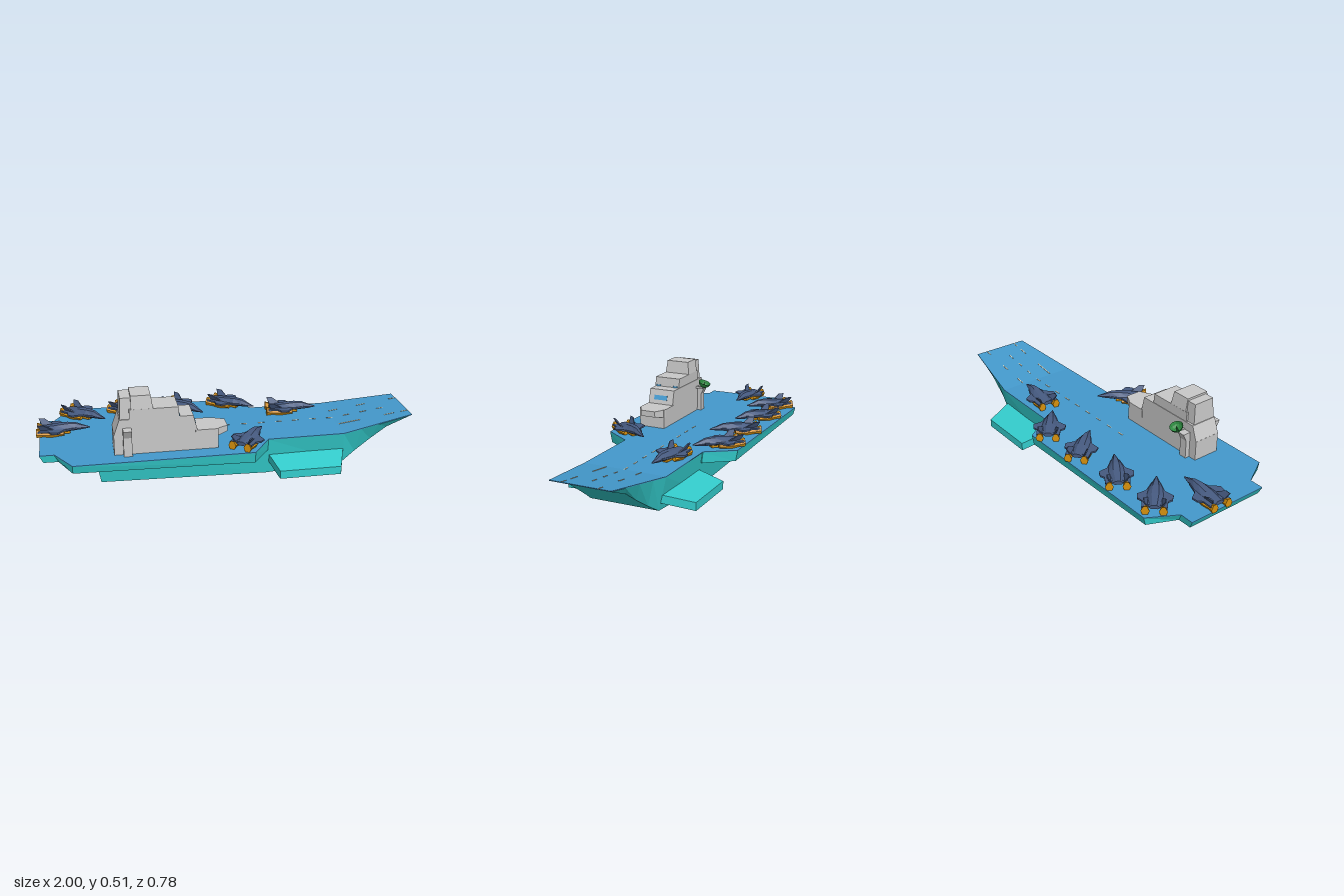
import * as THREE from 'three';

const mat = (name, color, side = THREE.FrontSide) => {
  const m = new THREE.MeshStandardMaterial({ color, side, flatShading: true });
  m.name = name;
  return m;
};

// Skin over rings ordered along +x; each ring runs top +z, down, across to -z, up
function loft(rings) {
  const p = [], n = rings[0].length;
  const tri = (a, b, c) => p.push(...a, ...b, ...c);
  for (let i = 0; i < rings.length - 1; i++) {
    for (let j = 0; j < n; j++) {
      const k = (j + 1) % n, A = rings[i], B = rings[i + 1];
      tri(A[j], A[k], B[k]);
      tri(A[j], B[k], B[j]);
    }
  }
  const s = rings[0], e = rings[rings.length - 1];
  for (let j = 1; j < n - 1; j++) {
    tri(s[0], s[j + 1], s[j]);
    tri(e[0], e[j], e[j + 1]);
  }
  const g = new THREE.BufferGeometry();
  g.setAttribute('position', new THREE.Float32BufferAttribute(p, 3));
  g.computeVertexNormals();
  return g;
}

// Tapered block: bottom and top given as [y, x0, x1, z0, z1]
function block(b, t) {
  const ring = (i) => [[t[i], t[0], t[4]], [b[i], b[0], b[4]], [b[i], b[0], b[3]], [t[i], t[0], t[3]]];
  return loft([ring(1), ring(2)]);
}

// Horizontal plate, mirrored in z from a half outline of [x, z], with its top at y
function plate(half, y, depth) {
  const pts = [...half, ...half.filter(q => q[1] > 0).reverse().map(([x, z]) => [x, -z])];
  const shape = new THREE.Shape(pts.map(([x, z]) => new THREE.Vector2(x, z)));
  return new THREE.ExtrudeGeometry(shape, { depth, bevelEnabled: false }).rotateX(Math.PI / 2).translate(0, y, 0);
}

function reshape(g, rule) {
  const a = g.attributes.position, v = new THREE.Vector3();
  for (let i = 0; i < a.count; i++) {
    rule(v.fromBufferAttribute(a, i));
    a.setXYZ(i, v.x, v.y, v.z);
  }
  g.computeVertexNormals();
  return g;
}

export function createModel() {
  const teal = mat('hull teal', 0x33cccc);
  const blue = mat('deck blue', 0x4499cc);
  const grey = mat('tower grey', 0xc8c8c8);
  const slate = mat('aircraft slate', 0x465a80);
  const orange = mat('aircraft orange', 0xd8920e);
  const green = mat('dish green', 0x2c8c40, THREE.DoubleSide);
  const glass = mat('window blue', 0x4aa4dc);
  const cream = mat('marking cream', 0xe8d8b8);

  const root = new THREE.Group();
  root.name = 'aircraftCarrier';
  const add = (name, g, m, parent = root) => {
    const mesh = new THREE.Mesh(g, m);
    mesh.name = name;
    parent.add(mesh);
    return mesh;
  };
  const rise = (x) => Math.max(0, x - 0.6) * 0.135;

  // Hull: [top x, top half width, bottom x, bottom y, bottom half width]
  const hullRings = [
    [-0.71, 0.225, -0.68, 0.02, 0.195], [0.19, 0.225, 0.19, 0, 0.195],
    [0.6, 0.225, 0.61, 0.03, 0.19], [0.7, 0.209, 0.68, 0.075, 0.17],
    [0.8, 0.193, 0.77, 0.135, 0.157], [0.9, 0.176, 0.86, 0.197, 0.155],
    [1, 0.16, 0.995, 0.255, 0.16],
  ].map(([xt, zt, xb, yb, zb]) => {
    const yt = 0.202 + rise(xt);
    return [[xt, yt, zt], [xb, yb, zb], [xb, yb, -zb], [xt, yt, -zt]];
  });
  add('hull', loft(hullRings), teal);

  // Overhanging deck body, undercut and deeper towards the bow
  const aft = [[-0.98, 0.228], [-0.905, 0.228], [-0.82, 0.378], [0.09, 0.378], [0.19, 0.228]];
  add('deckOverhang', reshape(plate(aft, 0.202, 0.04), (v) => {
    if (v.y < 0.19) {
      v.y = 0.165 - 0.0175 * (v.x + 0.98);
      v.z *= 0.972;
      if (v.x < -0.9) v.x += 0.018;
    }
  }), teal);

  // Flight deck and raised bow deck
  add('flightDeck', plate([...aft, [0.6, 0.226]], 0.206, 0.004), blue);
  add('bowDeck', reshape(plate([[0.6, 0.226], [1, 0.161]], 0.206, 0.004), (v) => { v.y += rise(v.x); }), blue);

  // Runway dashes
  const dash = (x0, x1, z) => {
    const m = add('runwayDash', new THREE.BoxGeometry(x1 - x0, 0.002, 0.005), cream);
    const x = (x0 + x1) / 2;
    m.position.set(x, 0.207 + rise(x), z);
    if (x > 0.6) m.rotation.z = Math.atan(0.135);
  };
  for (let x = -0.2; x < 0.95; x += 0.096) dash(x, x + 0.035, 0);
  [[0.61, 0.66, -0.095], [0.77, 0.82, -0.095], [0.96, 0.998, -0.095],
    [0.61, 0.73, 0.097], [0.865, 0.92, 0.097], [0.96, 0.998, 0.097]].forEach(d => dash(...d));

  // Sloping side platforms
  for (const s of [1, -1]) {
    const edge = (x, z, y) => [[x, y, z * s], [x, y - 0.043, z * s]];
    const q = [[0.195, 0.55 + 0.06], [0.225, 0.55]].map(([a, b], i) =>
      [a, b].map(x => edge(x, i ? 0.358 : 0.19, i ? 0.08 : 0.114)));
    const ring = (k) => {
      const [inner, outer] = [q[0][k], q[1][k]];
      return s > 0 ? [outer[0], outer[1], inner[1], inner[0]] : [inner[0], inner[1], outer[1], outer[0]];
    };
    add('sidePlatform', loft([ring(0), ring(1)]), teal);
  }

  // Control tower, stacked in tiers
  const tower = new THREE.Group();
  tower.name = 'controlTower';
  root.add(tower);
  const tier = (name, b, t) => add(name, block(b, t), grey, tower);
  tier('towerBase', [0.2, -0.61, -0.085, 0.135, 0.285], [0.312, -0.61, -0.085, 0.135, 0.285]);
  tier('bridge', [0.31, -0.61, -0.19, 0.135, 0.285], [0.392, -0.58, -0.21, 0.135, 0.285]);
  tier('upperBridge', [0.39, -0.53, -0.28, 0.138, 0.288], [0.444, -0.53, -0.285, 0.138, 0.288]);
  tier('towerTop', [0.44, -0.52, -0.41, 0.138, 0.288], [0.513, -0.52, -0.42, 0.15, 0.28]);
  tier('rearMast', [0.36, -0.578, -0.518, 0.145, 0.28], [0.502, -0.572, -0.518, 0.152, 0.272]);
  tier('sideFin', [0.2, -0.565, -0.522, 0.11, 0.315], [0.306, -0.565, -0.522, 0.11, 0.315]);
  tier('sideFinFlare', [0.306, -0.565, -0.522, 0.11, 0.315], [0.348, -0.565, -0.522, 0.09, 0.338]);
  const lip = (x, z0, z1, y0) => [[x, 0.312, z1], [x, y0, z1], [x, y0, z0], [x, 0.312, z0]];
  add('towerLip', loft([lip(-0.2, 0.132, 0.288, 0.265), lip(-0.1, 0.132, 0.288, 0.268),
    lip(-0.032, 0.165, 0.252, 0.28)]), grey, tower);

  // Tower windows
  const pane = (x, y, z, h, w, tilt) => {
    const m = add('window', new THREE.BoxGeometry(0.006, h, w), glass, tower);
    m.position.set(x, y, z);
    m.rotation.z = tilt;
  };
  pane(-0.199, 0.347, 0.213, 0.026, 0.08, 0.245);
  for (const z of [0.162, 0.267]) pane(-0.28, 0.396, z, 0.008, 0.028, 0);

  // Radar dish on a short arm
  const radar = new THREE.Group();
  radar.name = 'radar';
  const bowl = [[0, -0.024], [0.018, -0.02], [0.03, -0.008], [0.036, 0.008]].map(q => new THREE.Vector2(...q));
  add('radarDish', new THREE.LatheGeometry(bowl, 14), green, radar);
  add('radarFeed', new THREE.ConeGeometry(0.006, 0.036, 6).translate(0, -0.004, 0), green, radar);
  radar.position.set(-0.515, 0.372, 0.087);
  radar.rotation.x = -0.35;
  root.add(radar);
  tier('radarArm', [0.34, -0.525, -0.505, 0.095, 0.14], [0.352, -0.525, -0.505, 0.095, 0.14]);

  // Parked aircraft: six-sided body [x, half width, low, high], nose towards +x
  const bodyRing = ([x, w, lo, hi]) => {
    const m = lo + (hi - lo) * 0.45;
    return [[x, hi, w * 0.4], [x, m, w], [x, lo, w * 0.6], [x, lo, -w * 0.6], [x, m, -w], [x, hi, -w * 0.4]];
  };
  const body = loft([[-0.12, 0.028, 0.022, 0.042], [-0.04, 0.042, 0.02, 0.052], [0.02, 0.036, 0.018, 0.058],
    [0.065, 0.022, 0.02, 0.056], [0.1, 0.014, 0.022, 0.043], [0.137, 0.003, 0.027, 0.032]].map(bodyRing));
  const wings = plate([[-0.105, 0.025], [-0.13, 0.06], [-0.075, 0.062], [-0.06, 0.082], [-0.025, 0.086],
    [0.005, 0.045], [0.075, 0.022]], 0.037, 0.009);
  const engine = loft([[-0.138, 0.021, 0.002, 0.046], [-0.105, 0.014, 0.004, 0.03], [-0.06, 0.018, 0, 0.032],
    [0.005, 0.012, 0.008, 0.028]].map(bodyRing));
  const belly = new THREE.BoxGeometry(0.11, 0.016, 0.04).translate(-0.02, 0.014, 0);
  const finShape = new THREE.Shape([[-0.115, 0], [-0.05, 0], [-0.1, 0.036], [-0.13, 0.036]]
    .map(q => new THREE.Vector2(...q)));
  const fin = new THREE.ExtrudeGeometry(finShape, { depth: 0.006, bevelEnabled: false }).translate(0, 0, -0.003);

  // Aircraft placed by tail and nose positions [tail x, tail z, nose x, nose z]
  [[-0.99, -0.055, -0.72, -0.038], [-0.83, -0.325, -0.635, -0.142], [-0.58, -0.335, -0.355, -0.18],
    [-0.265, -0.35, -0.1, -0.14], [-0.01, -0.345, 0.19, -0.175], [0.265, -0.145, 0.53, -0.115],
    [0.015, 0.345, 0.175, 0.125]].forEach(([tx, tz, nx, nz]) => {
    const jet = new THREE.Group();
    jet.name = 'aircraft';
    add('aircraftBody', body, slate, jet);
    add('aircraftWings', wings, slate, jet);
    add('aircraftBelly', belly, orange, jet);
    for (const s of [1, -1]) {
      add('aircraftEngine', engine, orange, jet).position.z = s * 0.042;
      const f = add('aircraftTailFin', fin, slate, jet);
      f.position.set(0, 0.036, s * 0.036);
      f.rotation.x = s * 0.45;
    }
    jet.position.set((tx + nx) / 2, 0.206, (tz + nz) / 2);
    jet.rotation.y = Math.atan2(tz - nz, nx - tx);
    root.add(jet);
  });
  return root;
}
